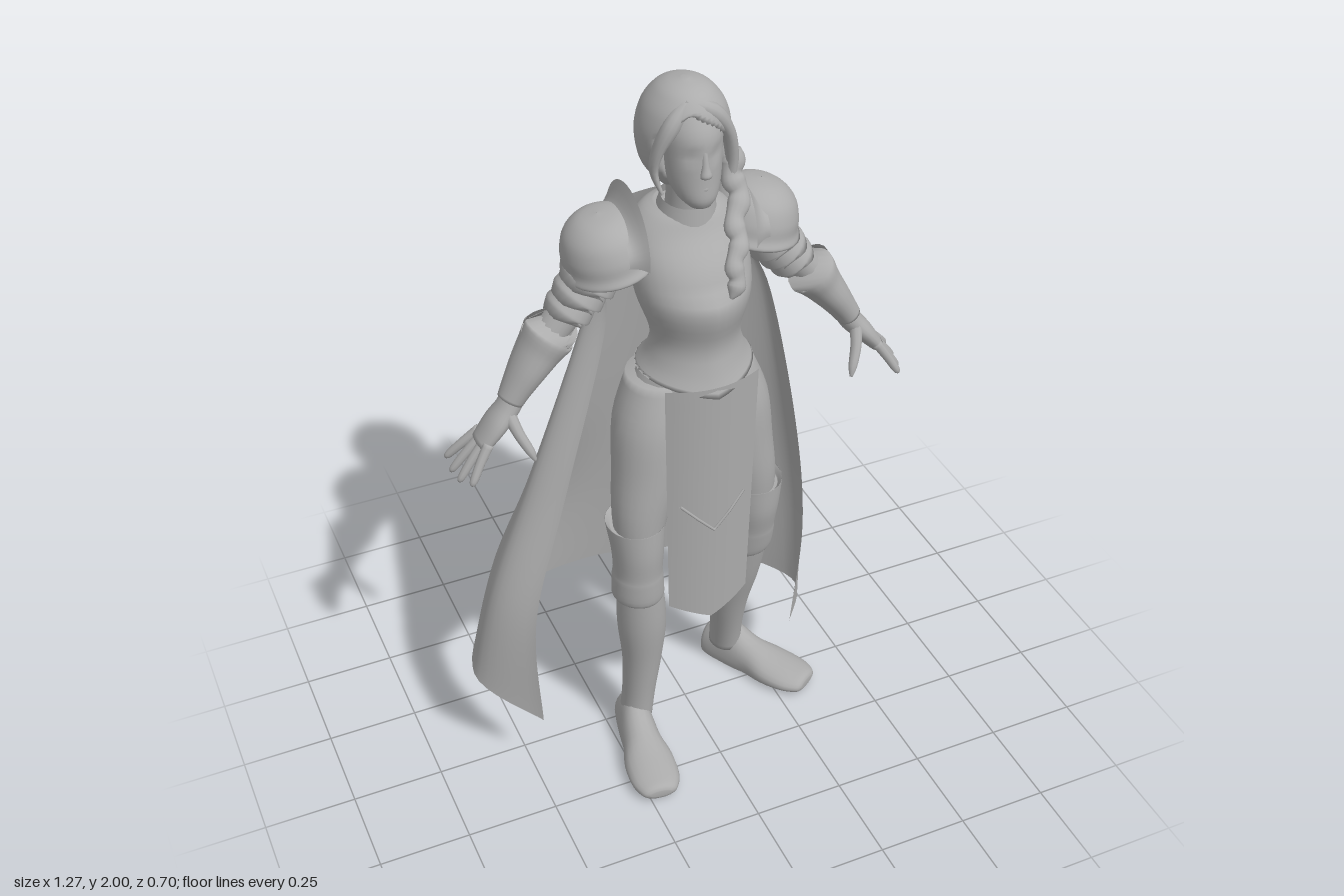
import * as THREE from 'three';

const steel = new THREE.MeshStandardMaterial({ color: 0xacacac });
steel.name = 'plain grey';
steel.side = THREE.DoubleSide;
const UP = [0, 1, 0], X = [1, 0, 0], Z = [0, 0, 1];

function mesh(parent, name, geometry) {
  const m = new THREE.Mesh(geometry, steel);
  m.name = name;
  parent.add(m);
  return m;
}

function build(pos, idx, shape) {
  const g = new THREE.BufferGeometry();
  g.setAttribute('position', new THREE.Float32BufferAttribute(pos, 3));
  g.setIndex(idx);
  if (shape) {
    const p = g.attributes.position, v = new THREE.Vector3();
    for (let i = 0; i < p.count; i++) {
      shape(v.fromBufferAttribute(p, i));
      p.setXYZ(i, v.x, v.y, v.z);
    }
  }
  g.computeVertexNormals();
  return g;
}

function smoothRow(rows, t) {
  const k = Math.min(Math.floor(t), rows.length - 2), f = t - k;
  const at = i => rows[Math.max(0, Math.min(rows.length - 1, i))];
  return rows[0].map((_, c) => {
    const a = at(k - 1)[c], b = at(k)[c], d = at(k + 1)[c], e = at(k + 2)[c];
    return b + 0.5 * f * (d - a + f * (2 * a - 5 * b + 4 * d - e + f * (3 * (b - d) + e - a)));
  });
}

// Closed elliptical loft; each row is x, y, z, radius along ref, radius across.
function loft(rows, ref, { n = 20, sub = 4, dir, shape } = {}) {
  const R = [];
  for (let i = 0; i <= (rows.length - 1) * sub; i++) R.push(smoothRow(rows, i / sub));
  const pos = [], idx = [], c = R.map(r => new THREE.Vector3(r[0], r[1], r[2]));
  R.forEach((r, i) => {
    const T = dir ? new THREE.Vector3(...dir)
      : c[Math.min(i + 1, R.length - 1)].clone().sub(c[Math.max(i - 1, 0)]);
    T.normalize();
    const U = new THREE.Vector3(...ref).addScaledVector(T, -T.dot(new THREE.Vector3(...ref))).normalize();
    const V = T.clone().cross(U);
    for (let j = 0; j < n; j++) {
      const a = j / n * Math.PI * 2;
      const p = c[i].clone().addScaledVector(U, r[3] * Math.cos(a)).addScaledVector(V, r[4] * Math.sin(a));
      pos.push(p.x, p.y, p.z);
      const q = i * n + j, s = i * n + (j + 1) % n;
      if (i < R.length - 1) idx.push(q, s, s + n, q, s + n, q + n);
    }
  });
  const last = (R.length - 1) * n, end = R.length * n;
  pos.push(...c[0].toArray(), ...c[c.length - 1].toArray());
  for (let j = 0; j < n; j++) {
    const k = (j + 1) % n;
    idx.push(end, k, j, end + 1, last + j, last + k);
  }
  return build(pos, idx, shape);
}

// Open sheet from a rule of u and v.
function sheet(fn, nu, nv) {
  const pos = [], idx = [];
  for (let i = 0; i <= nv; i++) for (let j = 0; j <= nu; j++) {
    pos.push(...fn(j / nu, i / nv));
    const a = i * (nu + 1) + j, b = a + nu + 1;
    if (i < nv && j < nu) idx.push(a, b, b + 1, a, b + 1, a + 1);
  }
  return build(pos, idx);
}

function addTorso(g) {
  mesh(g, 'breastplate', loft([
    [0, 1.255, .055, .152, .138], [0, 1.3, .06, .125, .108], [0, 1.36, .06, .115, .103], [0, 1.46, .048, .145, .138],
    [0, 1.55, .018, .152, .135], [0, 1.62, -.012, .14, .11], [0, 1.66, -.015, .105, .09], [0, 1.675, -.01, .07, .07]], X, {
    n: 36, dir: UP,
    shape: v => {
      const mid = Math.max(0, 1 - Math.abs(v.x) / .15);
      if (v.z > .06 && v.y < 1.5) v.z += .018 * mid;
      if (v.z > .06 && v.y < 1.3) v.y -= .035 * mid * (1.3 - v.y) / .045;
    } }));
  mesh(g, 'hips', loft([[0, 1.0, .03, .05, .06], [0, 1.1, .03, .15, .1], [0, 1.2, .035, .155, .11],
    [0, 1.28, .05, .11, .09]], X, { dir: UP }));
  const collar = mesh(g, 'collar', new THREE.CylinderGeometry(.066, .08, .06, 24, 1, true));
  collar.position.set(0, 1.672, .01);
  collar.rotation.x = .15;
  mesh(g, 'neck', loft([[0, 1.6, 0, .06, .06], [0, 1.68, .01, .052, .055], [0, 1.78, .02, .05, .055]], X, { dir: UP }));
}

function addHead(g) {
  mesh(g, 'face', loft([[0, 1.712, .088, .028, .028], [0, 1.735, .066, .05, .06], [0, 1.78, .042, .067, .082],
    [0, 1.84, .025, .075, .096], [0, 1.9, .015, .078, .1], [0, 1.96, 0, .065, .08]], X, {
    n: 32, dir: UP,
    shape: v => { // eye sockets
      const d = Math.hypot((Math.abs(v.x) - .032) / .024, (v.y - 1.85) / .02);
      if (v.z > .06 && d < 1) v.z -= .009 * (1 - d);
    } }));
  mesh(g, 'nose', loft([[0, 1.865, .112, .007, .007], [0, 1.825, .119, .01, .011], [0, 1.802, .124, .015, .013],
    [0, 1.792, .116, .009, .008]], X, { n: 12, dir: [0, -1, 0] }));
  mesh(g, 'lips', loft([[-.024, 1.764, .108, .003, .004], [0, 1.766, .12, .008, .006], [.024, 1.764, .108, .003, .004]], UP, { n: 10 }));
  // Hair gathered at the nape and open around the face
  mesh(g, 'hair', loft([[0, 1.725, -.025, .052, .055], [0, 1.755, -.027, .08, .088], [0, 1.8, -.02, .104, .108],
    [0, 1.87, -.013, .114, .12], [0, 1.93, -.008, .1, .112], [0, 1.97, -.005, .073, .085], [0, 1.99, -.003, .045, .052],
    [0, 2, 0, .008, .01]], X, {
    n: 56, sub: 8, dir: UP,
    shape: v => {
      const t = THREE.MathUtils.smoothstep(1.95 - .75 * Math.abs(v.x + .025) - v.y, 0, .02);
      if (v.z > .045) v.z += (.045 - v.z) * t;
    } }));
  // Parted front locks
  mesh(g, 'rightLock', loft([[-.025, 1.965, .055, .02, .014], [-.062, 1.92, .07, .022, .022], [-.092, 1.86, .058, .022, .014],
    [-.102, 1.8, .052, .016, .01], [-.088, 1.745, .07, .004, .004]], Z, { n: 12 }));
  mesh(g, 'leftLock', loft([[-.025, 1.965, .055, .02, .014], [.035, 1.94, .075, .022, .022], [.082, 1.875, .06, .024, .018],
    [.1, 1.8, .05, .02, .016], [.1, 1.75, .05, .016, .014]], Z, { n: 12 }));
  // Side braid, swelling and pinching along its length
  const path = new THREE.CatmullRomCurve3([[.1, 1.8, .03], [.108, 1.72, .06], [.085, 1.64, .115], [.065, 1.57, .16], [.045, 1.49, .185]]
    .map(p => new THREE.Vector3(...p)));
  const braid = [];
  for (let i = 0; i <= 14; i++) {
    const p = path.getPoint(i / 14), r = i === 14 ? .004 : (i % 2 ? .033 : .027) * (1 - i / 45);
    braid.push([p.x + (i % 4 < 2 ? .005 : -.005), p.y, p.z, r, r * .8]);
  }
  mesh(g, 'braid', loft(braid, X, { n: 14, sub: 3 }));
}

function addArm(root, s) {
  const g = new THREE.Group();
  g.name = s > 0 ? 'leftArm' : 'rightArm';
  root.add(g);
  const limb = (name, rows, n = 20) => mesh(g, name, loft(rows.map(r => [s * r[0], ...r.slice(1)]), Z, { n }));
  limb('sleeve', [[.14, 1.6, -.02, .07, .06], [.2, 1.56, -.02, .065, .06], [.27, 1.48, -.02, .053, .05],
    [.35, 1.385, -.015, .045, .043], [.39, 1.335, -.015, .045, .04]]);
  limb('gauntlet', [[.36, 1.375, -.014, .055, .045], [.357, 1.38, -.012, .074, .066], [.385, 1.342, -.012, .068, .056],
    [.42, 1.295, -.008, .06, .046], [.45, 1.252, -.004, .048, .038], [.472, 1.218, 0, .038, .033]]);
  limb('palm', [[.455, 1.24, -.002, .034, .03], [.48, 1.2, 0, .038, .03], [.515, 1.16, 0, .046, .027], [.555, 1.11, -.003, .042, .02]]);
  for (let i = 0; i < 4; i++) {
    const z = .033 - i * .024, tip = z * 1.7, long = [.95, 1.05, 1, .85][i], lean = .012 * (i - 1.8);
    const at = (k, dz, r) => [.545 + (.085 * long + lean) * k, 1.125 - .1 * long * k ** 1.1, dz, r, r];
    limb('finger', [at(0, z, .014), at(.5, (z + tip) / 2, .0125), at(.9, tip, .01), at(1, tip, .003)], 10);
  }
  limb('thumb', [[.485, 1.195, .02, .018, .018], [.472, 1.15, .05, .016, .015], [.452, 1.105, .075, .012, .012],
    [.443, 1.08, .085, .004, .004]], 10);
  // Overlapping upper arm plates
  for (let i = 0; i < 3; i++) {
    const x = .222 + i * .027, y = 1.532 - i * .035, r = .077 - i * .006;
    limb('armPlate', [[x, y, -.02, r * .9, r * .82], [x + .018, y - .022, -.02, r, r * .92],
      [x + .028, y - .034, -.02, r * 1.02, r * .94], [x + .027, y - .034, -.02, r * .8, r * .75]]);
  }
  // Shoulder dome with rolled rim, and its upright crest
  const dome = mesh(g, 'pauldron', new THREE.LatheGeometry(
    new THREE.SplineCurve([[.114, -.018], [.119, -.01], [.112, .01], [.108, .045], [.09, .088], [.052, .118], [.001, .127]]
      .map(p => new THREE.Vector2(...p))).getPoints(24), 32));
  dome.position.set(s * .192, 1.552, -.025);
  dome.rotation.z = -s * .2;
  dome.scale.set(1.02, 1, 1.1);
  mesh(g, 'pauldronCrest', sheet((u, v) => {
    const a = -.15 + u * (Math.PI + .3), k = v * v;
    return [s * (.185 - .045 * v), 1.59 + (.075 + .07 * k) * Math.sin(a), -.022 + (.12 + .02 * k) * Math.cos(a)];
  }, 24, 5));
}

function addLeg(root, s, kneeZ, upper, lower, heel, toe) {
  const g = new THREE.Group();
  g.name = s > 0 ? 'leftLeg' : 'rightLeg';
  root.add(g);
  const zAt = y => kneeZ - Math.abs(y - .7) * (y > .7 ? upper : lower);
  const limb = (name, rows) => mesh(g, name, loft(rows.map(([x, y, a, b]) => [s * x, y, zAt(y), a, b]), X, { n: 24, dir: UP }));
  limb('thigh', [[.178, .66, .05, .055], [.166, .82, .074, .077], [.135, .96, .095, .095], [.115, 1.1, .1, .105], [.09, 1.22, .08, .09]]);
  limb('kneeCuff', [[.172, .54, .058, .062], [.178, .56, .071, .073], [.18, .62, .069, .073], [.18, .65, .066, .071],
    [.18, .72, .07, .076], [.181, .795, .078, .085], [.181, .802, .077, .084], [.181, .785, .066, .07]]);
  limb('boot', [[.178, .07, .045, .054], [.17, .17, .046, .053], [.163, .3, .055, .058], [.166, .45, .068, .068], [.177, .62, .06, .064]]);
  const dx = toe[0] - heel[0], dz = toe[1] - heel[1];
  const rows = [[0, .03, .04], [.04, .042, .07], [.25, .05, .105], [.45, .055, .07], [.65, .07, .047], [.85, .068, .033], [.97, .05, .024], [1, .03, .01]]
    .map(([t, w, h]) => [heel[0] + dx * t, .03, heel[1] + dz * t, w, h]);
  mesh(g, 'foot', loft(rows, [dz, 0, -dx], { dir: [dx, 0, dz], shape: v => { v.y = Math.max(v.y, .004); } }));
}

function addTabard(g) {
  const face = (x, y) => .178 + (y - .47) * .032 - 2.1 * x * x;
  mesh(g, 'tabard', sheet((u, v) => {
    const k = (u - .5) * 2, x = k * (.128 - .014 * v), y = 1.25 + (.47 + .055 * Math.abs(k) - 1.25) * v;
    return [x, y, face(x, y)];
  }, 16, 20));
  mesh(g, 'tabardChevron', new THREE.TubeGeometry(new THREE.CatmullRomCurve3(
    [[-.09, .88], [-.045, .8325], [0, .785], [.045, .8325], [.09, .88]]
      .map(([x, y]) => new THREE.Vector3(x, y, face(x, y) + .002)), false, 'catmullrom', 0), 32, .004, 6));
}

function addCape(g) {
  // Each row runs from the right edge round the back to the left edge as x, z pairs.
  const rows = [
    [1.655, -.14, -.07, -.125, -.1, -.07, -.115, 0, -.12, .07, -.115, .125, -.1, .14, -.07],
    [1.48, -.18, -.08, -.19, -.12, -.12, -.17, 0, -.18, .12, -.17, .2, -.13, .2, -.09],
    [1.3, -.2, -.05, -.24, -.11, -.15, -.19, 0, -.21, .14, -.19, .27, -.13, .28, -.08],
    [.9, -.35, .03, -.41, -.07, -.28, -.21, -.06, -.27, .18, -.23, .34, -.13, .34, -.02],
    [.58, -.47, .09, -.55, -.04, -.4, -.26, -.12, -.315, .17, -.27, .38, -.12, .355, .02],
    [.3, -.48, .13, -.62, -.03, -.47, -.25, -.15, -.345, .18, -.29, .39, -.1, .31, .05]];
  const hem = [[-.08], [.01], [.04], [.02], [-.02], [-.06], [-.08]];
  mesh(g, 'cape', sheet((u, v) => {
    const r = smoothRow(rows, v * 5), points = [];
    for (let i = 1; i < r.length; i += 2) points.push([r[i], r[i + 1]]);
    const [x, z] = smoothRow(points, u * 6);
    return [x, r[0] + smoothRow(hem, u * 6)[0] * v ** 4, z];
  }, 48, 40));
}

export function createModel() {
  const g = new THREE.Group();
  g.name = 'armouredFigure';
  addTorso(g);
  addHead(g);
  addArm(g, 1);
  addArm(g, -1);
  addLeg(g, 1, .05, .06, .25, [.15, -.175], [.34, .122]);
  addLeg(g, -1, .1, .13, .07, [-.178, -.01], [-.225, .348]);
  addTabard(g);
  addCape(g);
  return g;
}
